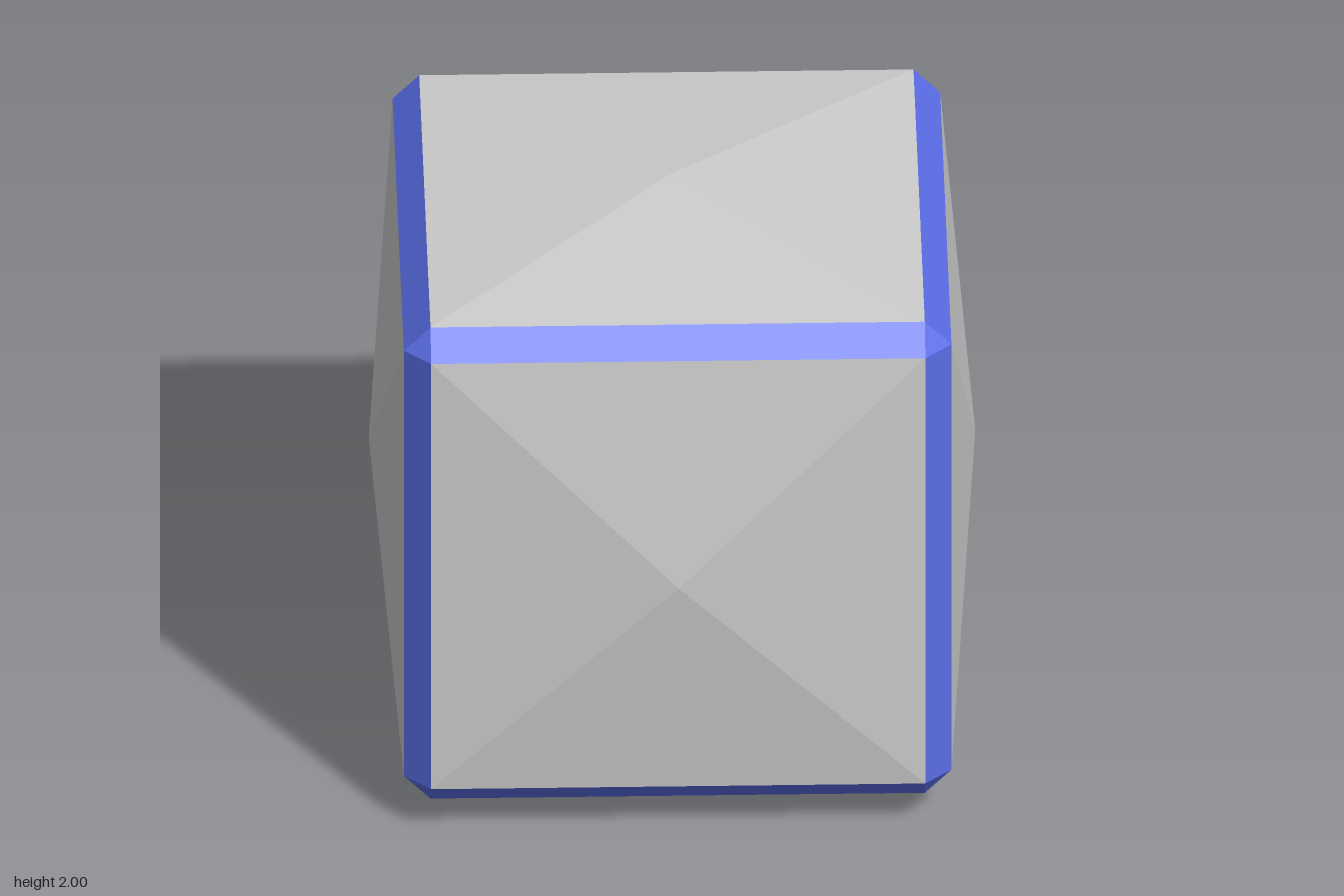
import * as THREE from 'three';

const INNER = 0.815; // half side of each panel
const OUTER = 0.903; // distance of panel rims from the centre
const TIP = 1; // distance of panel peaks from the centre

export function createModel() {
  const model = new THREE.Group();
  const body = new THREE.Group();
  body.name = 'bevelledCube';
  body.position.y = 1;
  model.add(body);

  const grey = new THREE.MeshStandardMaterial({ color: 0xcccccc, flatShading: true });
  const blue = new THREE.MeshStandardMaterial({ color: 0x5a6ee6, flatShading: true });
  const add = (name, geometry, material) => {
    const mesh = new THREE.Mesh(geometry, material);
    mesh.name = name;
    body.add(mesh);
    return mesh;
  };

  // Six shallow pyramid panels
  const panel = new THREE.ConeGeometry(INNER * Math.SQRT2, TIP - OUTER, 4, 1, true);
  panel.rotateY(Math.PI / 4);
  panel.translate(0, (TIP + OUTER) / 2, 0);
  const panels = {
    topPanel: [0, 0], bottomPanel: [Math.PI, 0],
    frontPanel: [Math.PI / 2, 0], backPanel: [-Math.PI / 2, 0],
    leftPanel: [0, -Math.PI / 2], rightPanel: [0, Math.PI / 2],
  };
  for (const [name, [rx, rz]] of Object.entries(panels)) {
    add(name, panel, grey).rotation.set(rx, 0, rz);
  }

  // Twelve edge bevels: four around each axis
  const strip = new THREE.PlaneGeometry(2 * INNER, (OUTER - INNER) * Math.SQRT2);
  strip.translate(0, 0, (INNER + OUTER) / Math.SQRT2);
  for (const axis of ['x', 'y', 'z']) {
    for (let k = 0; k < 4; k++) {
      const edge = strip.clone().rotateX(Math.PI / 4 + (k * Math.PI) / 2);
      if (axis === 'y') edge.rotateZ(Math.PI / 2);
      if (axis === 'z') edge.rotateY(Math.PI / 2);
      add('edgeBevel', edge, blue);
    }
  }

  // Eight corner triangles, with winding swapped where the corner is mirrored
  for (const sx of [-1, 1]) for (const sy of [-1, 1]) for (const sz of [-1, 1]) {
    const points = [[OUTER, INNER, INNER], [INNER, OUTER, INNER], [INNER, INNER, OUTER]]
      .map(([x, y, z]) => new THREE.Vector3(x * sx, y * sy, z * sz));
    if (sx * sy * sz < 0) points.reverse();
    const corner = new THREE.BufferGeometry().setFromPoints(points);
    corner.computeVertexNormals();
    add('cornerBevel', corner, blue);
  }
  return model;
}
